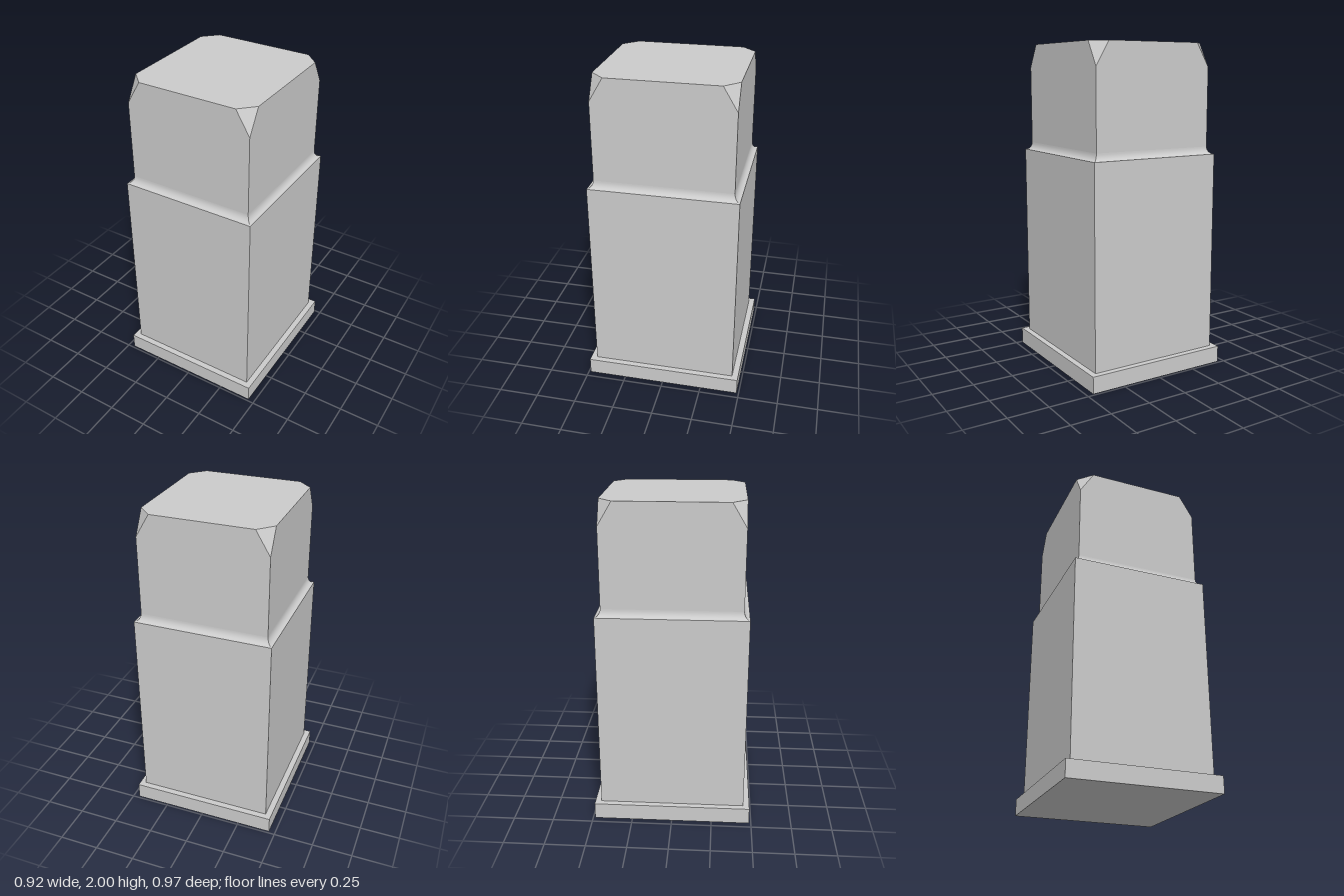
import * as THREE from 'three';
import { ConvexGeometry } from 'three/addons/geometries/ConvexGeometry.js';

const CORNERS = [[-1, 1], [1, 1], [1, -1], [-1, -1]];
const material = new THREE.MeshStandardMaterial({ color: 0xcccccc });

// Half sizes and heights of the stacked parts
const PLINTH = { x: 0.46, z: 0.487, y0: 0, y1: 0.103 };
const BODY = { x: 0.423, z: 0.449, y0: 0.103, y1: 1.335 };
const HEAD = { x: 0.39, z: 0.415, y0: 1.335, y1: 2 };
const COVE_TOP = 1.38;
const CUT = { along: 0.085, down: 0.142 };

function block(name, { x, z, y0, y1 }) {
  const mesh = new THREE.Mesh(new THREE.BoxGeometry(2 * x, y1 - y0, 2 * z), material);
  mesh.position.y = (y0 + y1) / 2;
  mesh.name = name;
  return mesh;
}

// Concave moulding: smooth up each side, mitred sharply at the corners
function coveGeometry(steps = 8) {
  const positions = [], indices = [];
  for (let side = 0; side < 4; side++) {
    const ends = [CORNERS[side], CORNERS[(side + 1) % 4]];
    const first = positions.length / 3;
    for (let i = 0; i <= steps; i++) {
      const t = (i / steps) * Math.PI / 2;
      const out = 1 - Math.sin(t);
      const y = COVE_TOP - (COVE_TOP - BODY.y1) * Math.cos(t);
      const x = HEAD.x + (BODY.x - HEAD.x) * out;
      const z = HEAD.z + (BODY.z - HEAD.z) * out;
      for (const [sx, sz] of ends) positions.push(sx * x, y, sz * z);
      if (i < steps) {
        const a = first + 2 * i;
        indices.push(a, a + 1, a + 3, a, a + 3, a + 2);
      }
    }
  }
  const geometry = new THREE.BufferGeometry();
  geometry.setAttribute('position', new THREE.Float32BufferAttribute(positions, 3));
  geometry.setIndex(indices);
  geometry.computeVertexNormals();
  return geometry;
}

// Upper block with its four top corners cut off
function headGeometry() {
  const { x, z, y0, y1 } = HEAD;
  const points = CORNERS.flatMap(([sx, sz]) => [
    new THREE.Vector3(sx * x, y0, sz * z),
    new THREE.Vector3(sx * x, y1 - CUT.down, sz * z),
    new THREE.Vector3(sx * (x - CUT.along), y1, sz * z),
    new THREE.Vector3(sx * x, y1, sz * (z - CUT.along)),
  ]);
  return new ConvexGeometry(points);
}

export function createModel() {
  const model = new THREE.Group();
  model.name = 'post';

  const cove = new THREE.Mesh(coveGeometry(), material);
  cove.name = 'coveMoulding';
  const head = new THREE.Mesh(headGeometry(), material);
  head.name = 'head';

  model.add(block('plinth', PLINTH), block('body', BODY), cove, head);
  return model;
}
